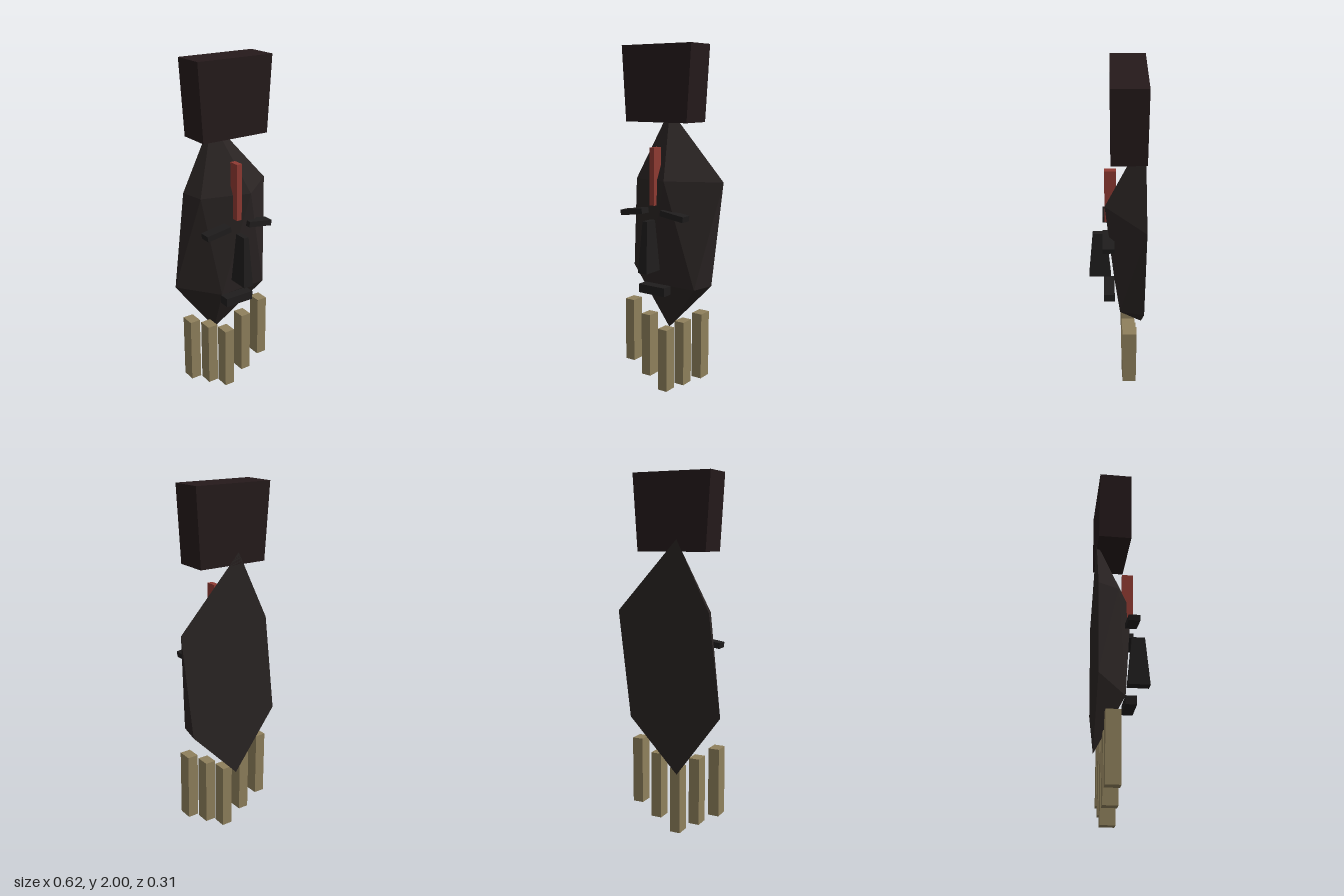
import * as THREE from 'three';
import { ConvexGeometry } from 'three/addons/geometries/ConvexGeometry.js';

const paint = (color) => new THREE.MeshStandardMaterial({ color, flatShading: true });

export function createModel() {
  const group = new THREE.Group();
  const wood = paint(0x2a2423), hatWood = paint(0x251a1b), dark = paint(0x1f1d1d);
  const red = paint(0x8f3a32), straw = paint(0x8f805c);

  const add = (name, geometry, material, x = 0, y = 0, z = 0) => {
    const mesh = new THREE.Mesh(geometry, material);
    mesh.name = name;
    mesh.position.set(x, y, z);
    group.add(mesh);
    return mesh;
  };

  // Box whose top face is scaled in x and z
  const taperedBox = (w, h, d, topX, topZ) => {
    const geometry = new THREE.BoxGeometry(w, h, d);
    const p = geometry.attributes.position;
    for (let i = 0; i < p.count; i++) {
      if (p.getY(i) > 0) p.setXYZ(i, p.getX(i) * topX, p.getY(i), p.getZ(i) * topZ);
    }
    geometry.computeVertexNormals();
    return geometry;
  };

  // Faceted mask: flat hexagonal back and four raised front corners
  const back = -0.155;
  const corners = [
    [-0.05, 1.65, back], [0.31, 1.26, back], [0.24, 0.66, back],
    [-0.05, 0.36, back], [-0.31, 0.71, back], [-0.24, 1.27, back],
    [0.06, 1.27, 0.062], [0.21, 0.66, -0.02], [-0.1, 0.67, 0.01], [-0.2, 1.26, -0.04],
  ].map((c) => new THREE.Vector3(...c));
  add('mask', new ConvexGeometry(corners), wood);

  // Block on top, wider upwards
  add('headdress', taperedBox(0.405, 0.415, 0.185, 1.13, 1), hatWood, -0.017, 1.7925, -0.0625);

  // Forehead stripe and face
  add('foreheadStripe', new THREE.BoxGeometry(0.032, 0.32, 0.063), red, -0.018, 1.29, 0.0315);
  add('nose', taperedBox(0.06, 0.29, 0.125, 0.5, 0.6), dark, -0.018, 0.905, 0.0925);
  for (const side of [-1, 1]) {
    const eye = add(side < 0 ? 'rightEye' : 'leftEye',
      new THREE.BoxGeometry(0.152, 0.032, 0.064), dark, -0.018 + side * 0.137, 1.083, 0.043);
    eye.rotation.z = -side * 0.15;
  }
  add('mouth', new THREE.BoxGeometry(0.176, 0.05, 0.062), dark, -0.018, 0.645, 0.039);

  // Beard of hanging strands, lowest in the middle
  for (let i = -2; i <= 2; i++) {
    add('beardStrand', new THREE.BoxGeometry(0.062, 0.38, 0.08), straw,
      -0.018 + i * 0.119, 0.19 + Math.abs(i) * 0.0725, -0.075);
  }
  return group;
}
